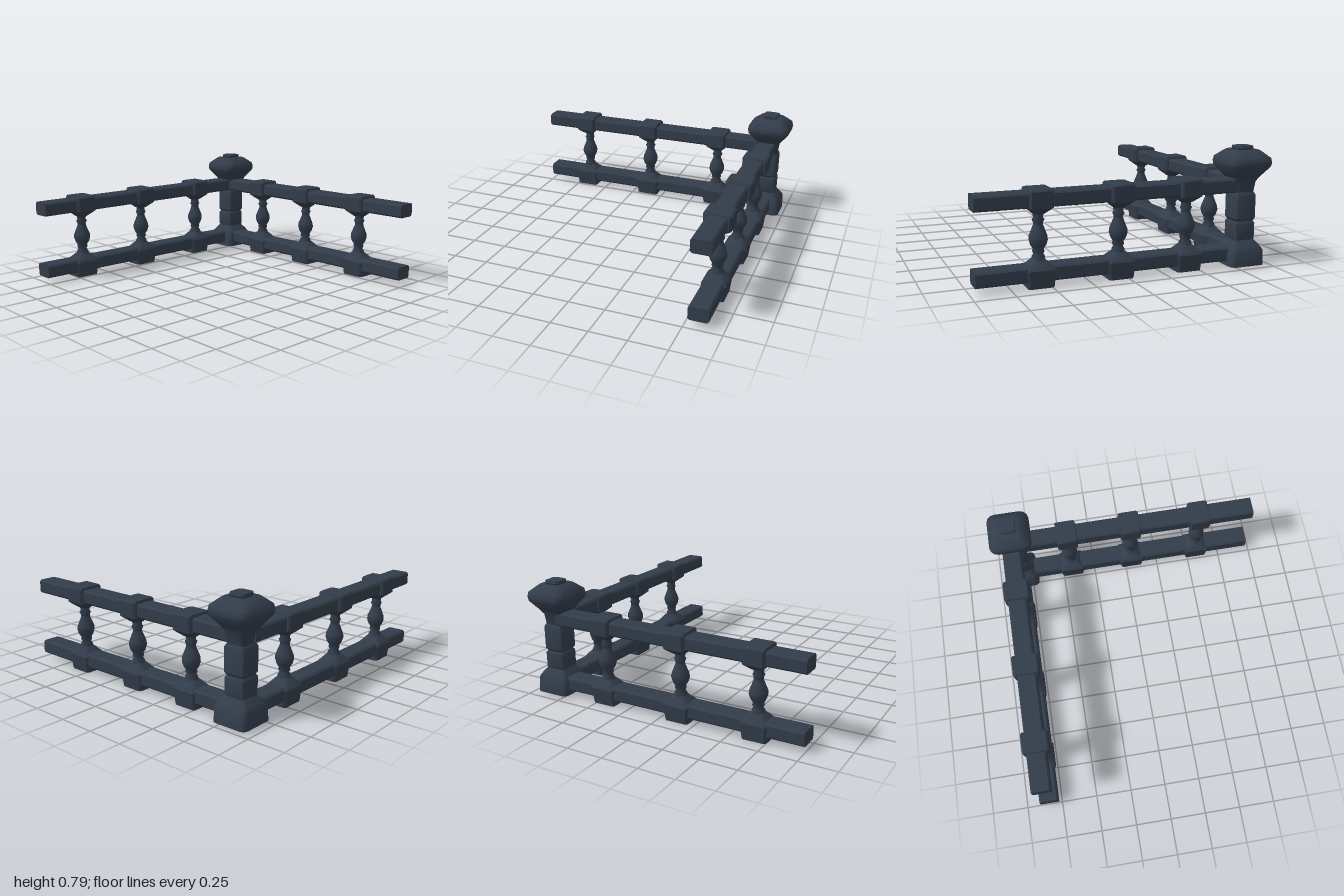
import * as THREE from 'three';
import { toCreasedNormals } from 'three/addons/utils/BufferGeometryUtils.js';

const iron = new THREE.MeshStandardMaterial({ color: 0x323c4a });
iron.name = 'dark blue iron';

// Stacks rounded rectangles [y, halfX, halfZ, cornerRadius] into a closed solid
function loft(sections, steps = 1, crease = 0.6) {
  const pos = [], index = [];
  const n = 4 * (steps + 1);
  for (const [y, hx, hz, r] of sections) {
    for (let q = 0; q < 4; q++) {
      const sx = q === 0 || q === 3 ? 1 : -1;
      const sz = q < 2 ? 1 : -1;
      for (let s = 0; s <= steps; s++) {
        const a = (q + s / steps) * Math.PI / 2;
        pos.push(sx * (hx - r) + r * Math.cos(a), y, sz * (hz - r) + r * Math.sin(a));
      }
    }
  }
  for (let k = 0; k < sections.length - 1; k++) {
    for (let i = 0; i < n; i++) {
      const a = k * n + i, b = k * n + (i + 1) % n;
      index.push(a, a + n, b, b, a + n, b + n);
    }
  }
  const last = (sections.length - 1) * n;
  for (let i = 1; i < n - 1; i++) {
    index.push(0, i, i + 1, last, last + i + 1, last + i);
  }
  const g = new THREE.BufferGeometry();
  g.setAttribute('position', new THREE.Float32BufferAttribute(pos, 3));
  g.setIndex(index);
  return toCreasedNormals(g, crease);
}

function part(parent, name, geometry) {
  const mesh = new THREE.Mesh(geometry, iron);
  mesh.name = name;
  parent.add(mesh);
  return mesh;
}

// Baluster pieces, shared by every baluster
const lowerBlock = loft([
  [0, 0.082, 0.07, 0.012], [0.11, 0.092, 0.082, 0.012], [0.125, 0.082, 0.073, 0.012], [0.172, 0.034, 0.034, 0.01],
]);
const upperBlock = loft([
  [0.445, 0.034, 0.034, 0.01], [0.488, 0.075, 0.088, 0.012], [0.588, 0.075, 0.091, 0.012], [0.6, 0.07, 0.08, 0.01],
]);
const spindle = new THREE.LatheGeometry([
  [0.042, 0.16], [0.042, 0.18], [0.03, 0.2], [0.038, 0.215], [0.034, 0.23], [0.05, 0.255], [0.059, 0.285],
  [0.057, 0.31], [0.043, 0.345], [0.031, 0.375], [0.03, 0.39], [0.039, 0.41], [0.03, 0.42], [0.036, 0.46],
].map(([r, y]) => new THREE.Vector2(r, y)), 12);

// A run of fence reaching from the post along -x
function fenceRun(name, length, balusters) {
  const run = new THREE.Group();
  run.name = name;
  for (const [railName, y] of [['lowerRail', 0.086], ['upperRail', 0.536]]) {
    const rail = part(run, railName, loft([
      [0.03, 0.047, 0.067, 0.012], [length, 0.047, 0.067, 0.012],
    ]));
    rail.rotation.z = Math.PI / 2;
    rail.position.y = y;
  }
  for (const x of balusters) {
    const baluster = new THREE.Group();
    baluster.name = 'baluster';
    baluster.position.x = x;
    part(baluster, 'lowerBlock', lowerBlock);
    part(baluster, 'spindle', spindle);
    part(baluster, 'upperBlock', upperBlock);
    run.add(baluster);
  }
  return run;
}

function cornerPost() {
  const post = new THREE.Group();
  post.name = 'cornerPost';
  part(post, 'postBase', loft([
    [0.01, 0.125, 0.125, 0.035], [0.11, 0.12, 0.12, 0.035], [0.135, 0.105, 0.105, 0.035], [0.18, 0.068, 0.068, 0.02],
  ], 3, 0.8));
  // Two shaft blocks with a groove between them
  part(post, 'postShaft', loft([
    [0.165, 0.064, 0.064, 0.018], [0.18, 0.074, 0.074, 0.02], [0.285, 0.074, 0.074, 0.02],
    [0.3, 0.064, 0.064, 0.018], [0.315, 0.075, 0.075, 0.02], [0.47, 0.075, 0.075, 0.02], [0.49, 0.064, 0.064, 0.018],
  ], 2));
  // Flared cap and small knob
  part(post, 'postCap', loft([
    [0.48, 0.062, 0.062, 0.02], [0.56, 0.073, 0.073, 0.025], [0.6, 0.1, 0.1, 0.035], [0.66, 0.148, 0.148, 0.055],
    [0.685, 0.152, 0.152, 0.055], [0.715, 0.147, 0.147, 0.055], [0.75, 0.105, 0.105, 0.04], [0.765, 0.085, 0.085, 0.03],
  ], 3, 0.8));
  part(post, 'postKnob', loft([
    [0.755, 0.045, 0.045, 0.015], [0.775, 0.056, 0.056, 0.015], [0.79, 0.053, 0.053, 0.015],
  ]));
  return post;
}

export function createModel() {
  const model = new THREE.Group();
  model.name = 'cornerFence';

  const post = cornerPost();
  post.position.set(0.847, 0, -0.825);
  model.add(post);

  const backRun = fenceRun('backRun', 1.84, [-1.51, -0.965, -0.4]);
  backRun.position.set(0.84, 0, -0.835);
  model.add(backRun);

  const sideRun = fenceRun('sideRun', 1.805, [-1.403, -0.882, -0.41]);
  sideRun.position.set(0.838, 0, -0.835);
  sideRun.rotation.y = Math.PI / 2;
  model.add(sideRun);

  return model;
}
